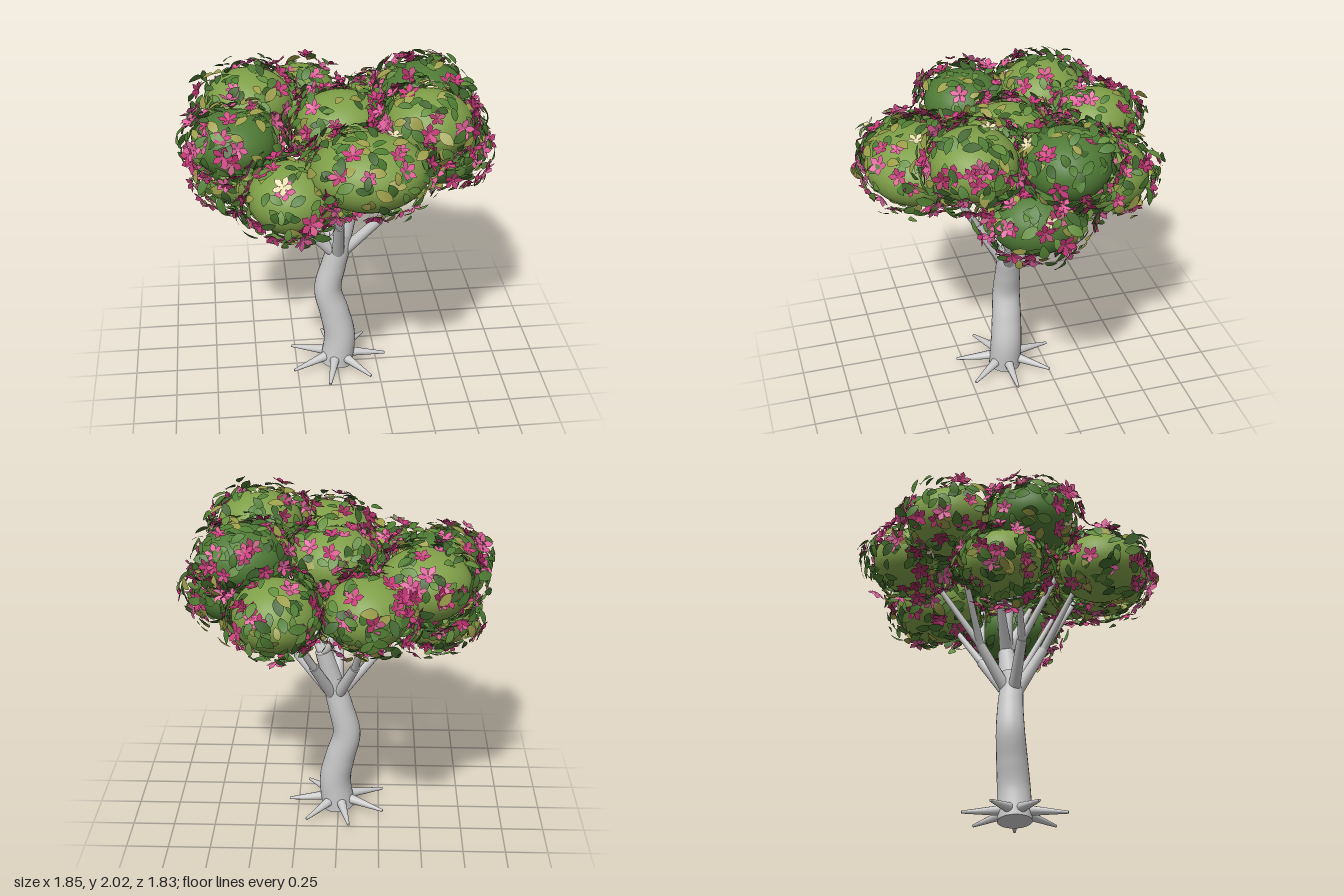
import * as THREE from 'three';
import { mergeGeometries } from 'three/addons/utils/BufferGeometryUtils.js';

const V = (x, y, z) => new THREE.Vector3(x, y, z);
const UP = V(0, 1, 0), FRONT = V(0, 0, 1);

// Small seeded random generator
function seeded(seed) {
  return () => {
    seed = (seed * 1664525 + 1013904223) % 4294967296;
    return seed / 4294967296;
  };
}

const paint = (color, side = THREE.FrontSide) => new THREE.MeshStandardMaterial({ color, side });

function addMesh(parent, name, geometry, material) {
  const mesh = new THREE.Mesh(geometry, material);
  mesh.name = name;
  parent.add(mesh);
  return mesh;
}

// Tapered round bar between two points
function bar(a, b, r0, r1) {
  const dir = b.clone().sub(a), length = dir.length();
  const g = new THREE.CylinderGeometry(r1, r0, length, 12);
  g.applyQuaternion(new THREE.Quaternion().setFromUnitVectors(UP, dir.normalize()));
  const mid = a.clone().add(b).multiplyScalar(0.5);
  return g.translate(mid.x, mid.y, mid.z);
}

// Curved trunk: a tube whose rings shrink towards the top
function trunkGeometry() {
  const curve = new THREE.CatmullRomCurve3([
    V(0, 0.01, 0), V(0.02, 0.2, -0.005), V(-0.01, 0.36, -0.015), V(-0.05, 0.53, -0.025),
    V(-0.015, 0.7, -0.025), V(0.015, 0.82, -0.02), V(0.025, 0.92, -0.025),
  ]);
  const rows = 40, sides = 24;
  const tube = new THREE.TubeGeometry(curve, rows, 0.1, sides);
  const pos = tube.attributes.position, p = V();
  for (let i = 0; i <= rows; i++) {
    const center = curve.getPointAt(i / rows), scale = 1 - 0.36 * (i / rows) ** 1.4;
    for (let j = 0; j <= sides; j++) {
      const k = i * (sides + 1) + j;
      p.fromBufferAttribute(pos, k).sub(center).multiplyScalar(scale).add(center);
      pos.setXYZ(k, p.x, p.y, p.z);
    }
  }
  const base = new THREE.CircleGeometry(0.1, sides);
  base.applyQuaternion(new THREE.Quaternion().setFromUnitVectors(FRONT, curve.getTangentAt(0).negate()));
  base.translate(0, 0.01, 0);
  return mergeGeometries([tube, base]);
}

// Pointed oval lying in the xy plane, folded along its middle
function leafGeometry(length, width, fold) {
  const shape = new THREE.Shape();
  shape.moveTo(0, 0);
  shape.bezierCurveTo(width * 0.7, length * 0.25, width * 0.7, length * 0.75, 0, length);
  shape.bezierCurveTo(-width * 0.7, length * 0.75, -width * 0.7, length * 0.25, 0, 0);
  const g = new THREE.ShapeGeometry(shape, 5), pos = g.attributes.position;
  for (let i = 0; i < pos.count; i++) {
    const y = pos.getY(i) / length;
    pos.setZ(i, fold * (Math.abs(pos.getX(i)) * 0.8 - y * y * length));
  }
  g.computeVertexNormals();
  return g;
}

// Five separate pointed petals round a centre
function flowerGeometry() {
  const petals = [];
  for (let i = 0; i < 5; i++) {
    const s = new THREE.Shape();
    s.moveTo(0, 0);
    s.lineTo(0.013, 0.02);
    s.lineTo(0.018, 0.038);
    s.lineTo(0, 0.06);
    s.lineTo(-0.018, 0.038);
    s.lineTo(-0.013, 0.02);
    const petal = new THREE.ShapeGeometry(s);
    petal.rotateX(0.3);
    petal.rotateZ(i * Math.PI * 2 / 5);
    petals.push(petal);
  }
  return mergeGeometries(petals);
}

export function createModel() {
  const tree = new THREE.Group();
  tree.name = 'floweringTree';
  const bark = paint(0xcccccc);

  addMesh(tree, 'trunk', trunkGeometry(), bark);

  // Seven spiky roots round the foot
  for (let i = 0; i < 7; i++) {
    const a = i * Math.PI * 2 / 7, c = Math.cos(a), s = Math.sin(a);
    addMesh(tree, 'root', bar(V(c * 0.06, 0.07, s * 0.06), V(c * 0.305, 0.042, s * 0.305), 0.032, 0.008), bark);
  }

  // Limbs: start, end and the tips of the twigs growing from the end
  const limbs = [
    [V(0, 0.78, -0.01), V(-0.22, 1.03, 0.04), 0.036, [V(-0.42, 1.26, 0.02), V(-0.33, 1.38, 0.24)]],
    [V(0.03, 0.78, -0.02), V(0.25, 1.03, 0.04), 0.036, [V(0.45, 1.3, 0.02), V(0.36, 1.45, 0.24)]],
    [V(0.01, 0.78, 0), V(0.0, 1.07, 0.17), 0.038, [V(-0.15, 1.4, 0.36), V(0.08, 1.45, 0.38)]],
    [V(0.01, 0.78, -0.03), V(-0.1, 1.05, -0.2), 0.036, [V(-0.34, 1.42, -0.3), V(-0.16, 1.4, -0.45)]],
    [V(0.03, 0.78, -0.03), V(0.14, 1.05, -0.2), 0.036, [V(0.28, 1.38, -0.4), V(0.42, 1.55, -0.2)]],
    [V(0.025, 0.85, -0.025), V(0.09, 1.09, -0.05), 0.062, [V(0.03, 1.48, -0.02), V(0.28, 1.48, 0.1), V(-0.16, 1.42, -0.1)]],
  ];
  for (const [start, end, r, tips] of limbs) {
    addMesh(tree, 'limb', bar(start, end, r, r * 0.8), bark);
    for (const tip of tips) addMesh(tree, 'twig', bar(end, tip, r * 0.62, 0.015), bark);
  }

  // Canopy clumps: centre x, y, z, radii along x, z and y, dark or light
  const light = paint(0x7f9f48), dark = paint(0x4f7a36);
  const clumps = [
    [-0.17, 1.57, -0.6, 0.23, 0.24, 0.19, light],
    [0.33, 1.5, -0.49, 0.24, 0.25, 0.2, light],
    [0.53, 1.72, -0.2, 0.25, 0.24, 0.19, dark],
    [0.61, 1.46, 0.0, 0.23, 0.25, 0.19, dark],
    [-0.48, 1.64, -0.37, 0.26, 0.25, 0.2, light],
    [-0.58, 1.6, 0.09, 0.24, 0.24, 0.18, dark],
    [-0.55, 1.34, -0.07, 0.23, 0.22, 0.18, light],
    [0.03, 1.64, -0.01, 0.26, 0.25, 0.19, light],
    [0.47, 1.76, 0.3, 0.25, 0.24, 0.19, light],
    [0.12, 1.61, 0.54, 0.32, 0.28, 0.2, light],
    [-0.29, 1.46, 0.5, 0.24, 0.24, 0.19, light],
  ];
  for (const [x, y, z, rx, rz, ry, material] of clumps) {
    const clump = addMesh(tree, 'foliageClump', new THREE.SphereGeometry(1, 32, 20), material);
    clump.position.set(x, y, z);
    clump.scale.set(rx, ry, rz);
  }

  // Leaves and flowers scattered on shells just outside the clumps
  const random = seeded(7);
  const inside = (p) => clumps.some(([x, y, z, rx, rz, ry]) =>
    ((p.x - x) / rx) ** 2 + ((p.y - y) / ry) ** 2 + ((p.z - z) / rz) ** 2 < 1);

  function scatter(name, geometry, colors, count, tilt) {
    const batches = colors.map(() => []);
    const item = new THREE.Object3D(), normal = V(), spin = new THREE.Quaternion();
    for (const [x, y, z, rx, rz, ry] of clumps) {
      for (let i = 0; i < count; i++) {
        const h = random() * 1.98 - 1, a = random() * Math.PI * 2, w = Math.sqrt(1 - h * h);
        const gap = 0.012 + random() * 0.07;
        item.position.set(x + Math.cos(a) * w * (rx + gap), y + h * (ry + gap * 0.65), z + Math.sin(a) * w * (rz + gap));
        const pick = Math.floor(random() ** 1.4 * colors.length);
        const turn = random() * Math.PI * 2, lean = (random() - 0.5) * tilt, size = 0.75 + random() * 0.4;
        if (inside(item.position)) continue;
        normal.set(Math.cos(a) * w / rx, h / ry, Math.sin(a) * w / rz).normalize();
        item.quaternion.setFromUnitVectors(FRONT, normal);
        item.quaternion.multiply(spin.setFromAxisAngle(FRONT, turn));
        item.rotateX(lean);
        item.scale.setScalar(size);
        item.updateMatrix();
        batches[pick].push(geometry.clone().applyMatrix4(item.matrix));
      }
    }
    batches.forEach((batch, i) => {
      if (batch.length) addMesh(tree, name, mergeGeometries(batch), paint(colors[i], THREE.DoubleSide));
    });
  }
  scatter('leaves', leafGeometry(0.092, 0.05, 0.25), [0x4f7d33, 0x648f3e, 0x3f642c, 0x9c9e4a], 180, 1.1);
  scatter('pinkFlowers', flowerGeometry(), [0xc93a7c, 0xdf5f9c, 0xa82a62], 46, 0.9);
  scatter('creamFlowers', flowerGeometry(), [0xe9deb0], 1, 0.9);

  return tree;
}
